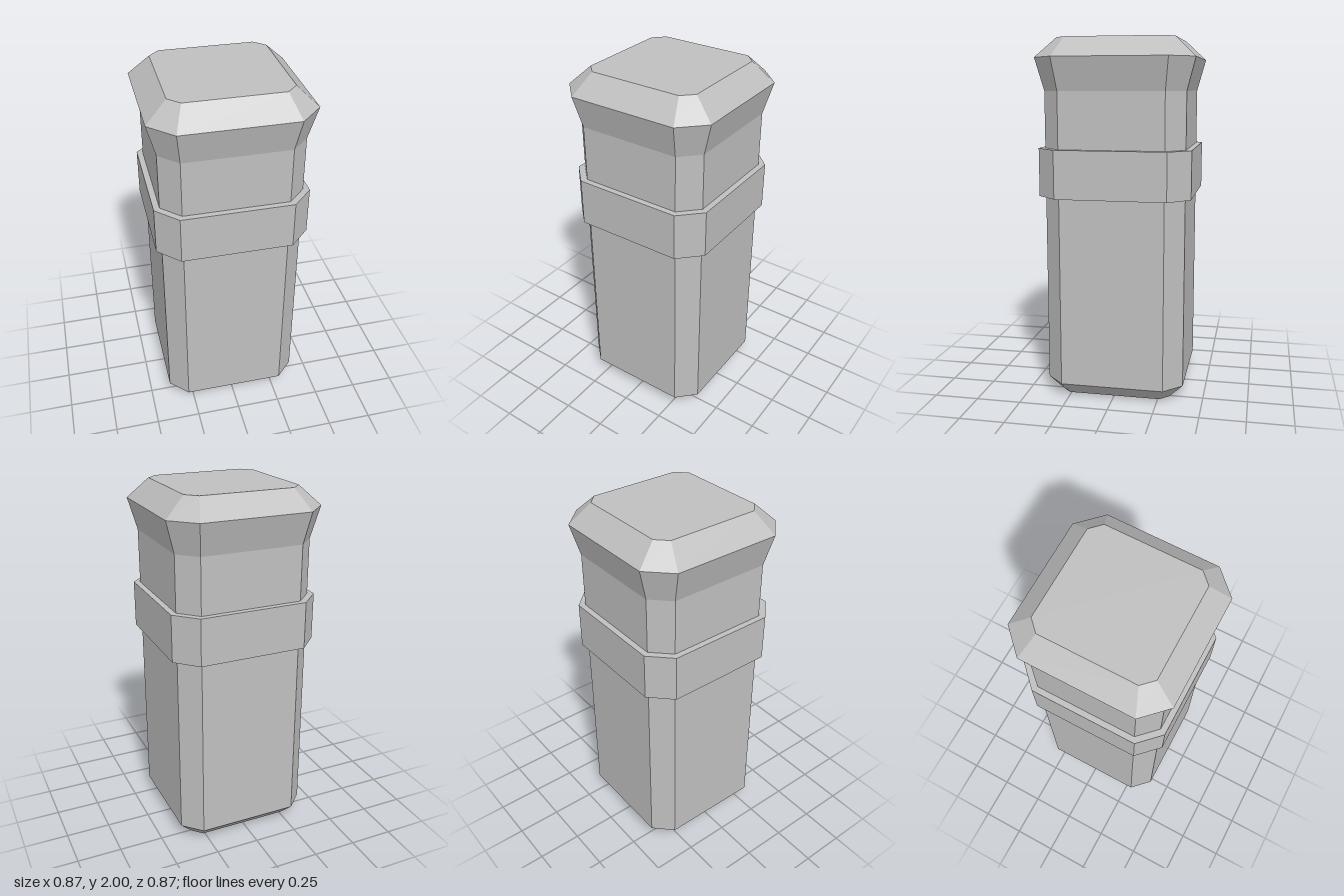
import * as THREE from 'three';

// Square with cut corners: w = half width, f = half length of each flat side
function ring([y, w, f]) {
  return [[w, -f], [w, f], [f, w], [-f, w], [-w, f], [-w, -f], [-f, -w], [f, -w]]
    .map(([u, v]) => [u, y, -v]);
}

// Joins the rings from bottom to top, with optional end faces
function loft(levels, { bottom = false, top = false } = {}) {
  const rings = levels.map(ring);
  const pos = [];
  const tri = (a, b, c) => pos.push(...a, ...b, ...c);
  for (let k = 0; k < rings.length - 1; k++) {
    const lo = rings[k], hi = rings[k + 1];
    for (let i = 0; i < 8; i++) {
      const j = (i + 1) % 8;
      tri(lo[i], lo[j], hi[j]);
      tri(lo[i], hi[j], hi[i]);
    }
  }
  const first = rings[0], last = rings[rings.length - 1];
  for (let i = 1; i < 7; i++) {
    if (bottom) tri(first[0], first[i + 1], first[i]);
    if (top) tri(last[0], last[i], last[i + 1]);
  }
  const geo = new THREE.BufferGeometry();
  geo.setAttribute('position', new THREE.Float32BufferAttribute(pos, 3));
  geo.computeVertexNormals();
  return geo;
}

export function createModel() {
  const group = new THREE.Group();
  const stone = new THREE.MeshStandardMaterial({ color: 0xbfbfbf });
  stone.name = 'grey';

  const add = (name, levels, ends) => {
    const mesh = new THREE.Mesh(loft(levels, ends), stone);
    mesh.name = name;
    group.add(mesh);
  };

  // Each level: height, half width, half flat length
  const shaft = [0.388, 0.288];
  add('foot', [[0, 0.31, 0.26], [0.08, ...shaft]], { bottom: true });
  add('shaft', [[0.08, ...shaft], [1.715, ...shaft]]);
  add('head', [[1.715, ...shaft], [1.893, 0.436, 0.309], [2, 0.322, 0.262]], { top: true });
  // Raised band around the shaft
  add('collar', [
    [1.14, ...shaft], [1.14, 0.421, 0.305], [1.405, 0.421, 0.305], [1.405, ...shaft],
  ]);

  return group;
}
